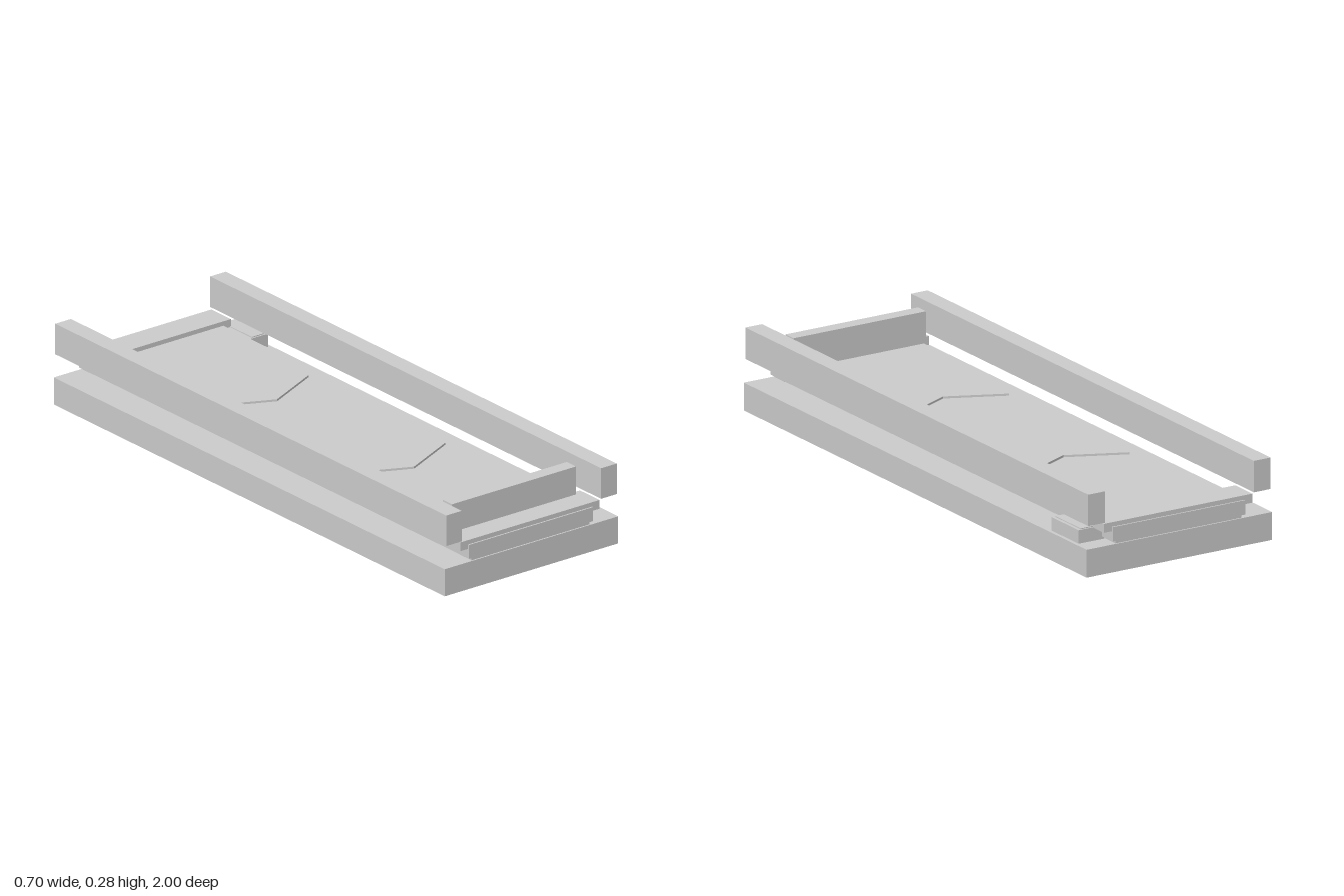
import * as THREE from 'three';

export function createModel() {
  const model = new THREE.Group();
  const material = new THREE.MeshStandardMaterial({ color: 0xcccccc, flatShading: true });

  // Box given by its extents on each axis
  function box(name, [x0, x1], [y0, y1], [z0, z1]) {
    const mesh = new THREE.Mesh(new THREE.BoxGeometry(x1 - x0, y1 - y0, z1 - z0), material);
    mesh.position.set((x0 + x1) / 2, (y0 + y1) / 2, (z0 + z1) / 2);
    mesh.name = name;
    model.add(mesh);
  }

  // Base slab and conveyor bed
  box('base', [-0.35, 0.35], [0, 0.093], [-1, 1]);
  box('belt', [-0.25, 0.25], [0.102, 0.15], [-0.998, 0.998]);

  // Side rails
  box('leftRail', [0.281, 0.344], [0.171, 0.276], [-1, 1]);
  box('rightRail', [-0.344, -0.281], [0.171, 0.276], [-1, 1]);

  // End caps over the belt and the supports beneath it
  for (const [side, s] of [['front', 1], ['back', -1]]) {
    const span = (a, b) => [Math.min(a * s, b * s), Math.max(a * s, b * s)];
    box(side + 'EndCap', [-0.28, 0.28], [0.135, 0.165], span(0.893, 0.993));
    box(side + 'Support', [-0.238, 0.238], [0.093, 0.102], span(0.935, 0.995));
  }

  // Upright stop plate at the front
  box('stopPlate', [-0.25, 0.25], [0.155, 0.261], [0.864, 0.911]);

  // Drive unit beside the belt at the back
  box('driveUnit', [0.24, 0.338], [0.093, 0.138], [-0.935, -0.777]);
  box('driveUnitCover', [0.277, 0.327], [0.138, 0.141], [-0.93, -0.782]);

  // Chevron markers on the belt, pointing to the front
  const chevron = new THREE.Shape([
    [0, 0.4], [0.2, 0.307], [0.192, 0.29], [0, 0.379], [-0.192, 0.29], [-0.2, 0.307],
  ].map(([x, z]) => new THREE.Vector2(x, -z)));
  const chevronGeometry = new THREE.ExtrudeGeometry(chevron, { depth: 0.008, bevelEnabled: false });
  chevronGeometry.rotateX(-Math.PI / 2);
  [0, -0.702].forEach((z, i) => {
    const mesh = new THREE.Mesh(chevronGeometry, material);
    mesh.position.set(0, 0.149, z);
    mesh.name = i ? 'backChevron' : 'frontChevron';
    model.add(mesh);
  });

  return model;
}
